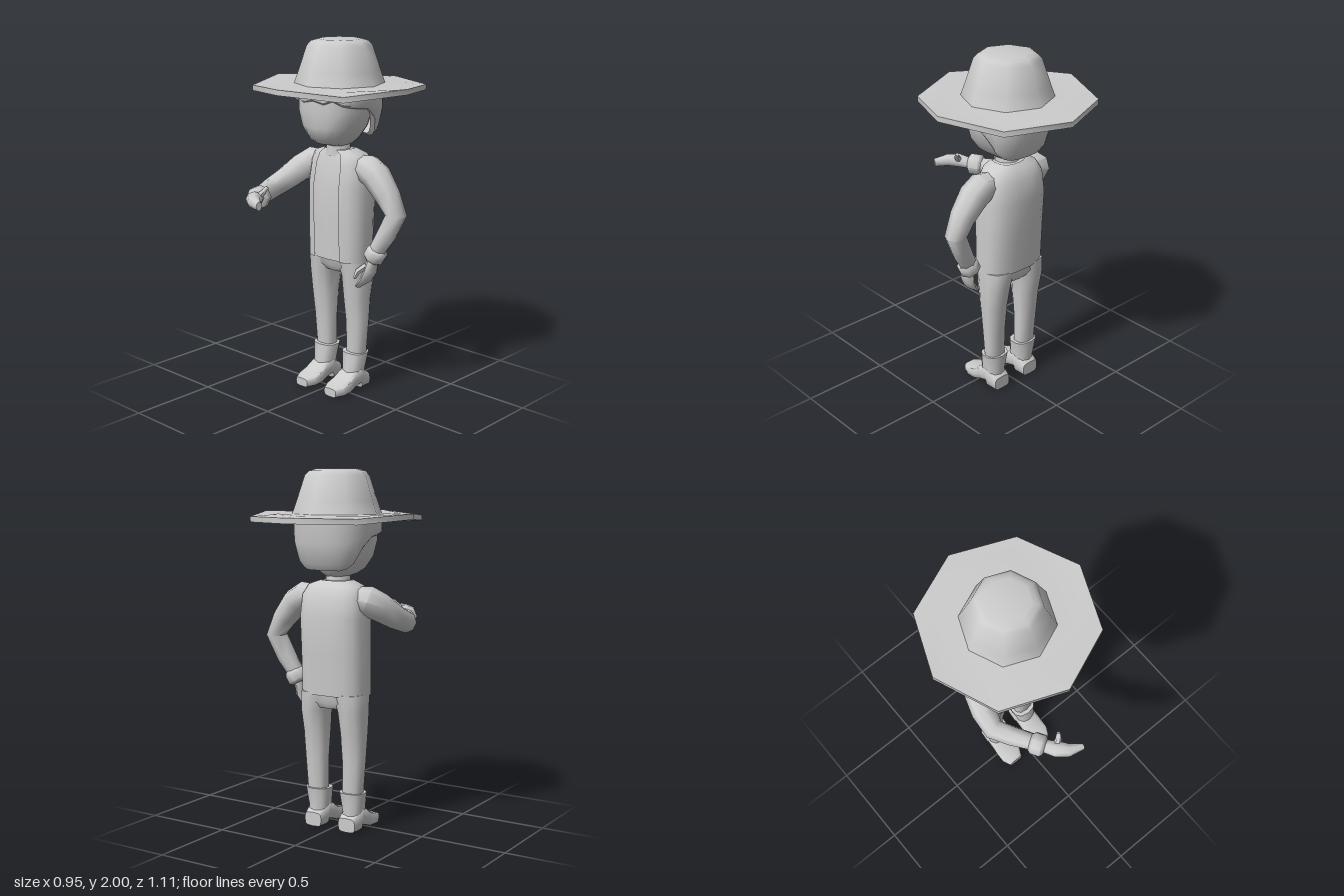
import * as THREE from 'three';
import { toCreasedNormals } from 'three/addons/utils/BufferGeometryUtils.js';

const V = (x, y, z) => new THREE.Vector3(x, y, z);
const spow = (v, p) => Math.sign(v) * Math.abs(v) ** p;

// Skin a list of rings; each ring runs counter-clockwise about the loft direction
function loft(rings, { closed = true, caps = true, crease = 0.95 } = {}) {
  const n = rings[0].length, pos = [], idx = [];
  rings.forEach(r => r.forEach(p => pos.push(p.x, p.y, p.z)));
  for (let i = 0; i < rings.length - 1; i++) {
    for (let j = 0; j < (closed ? n : n - 1); j++) {
      const k = (j + 1) % n, a = i * n, b = a + n;
      idx.push(a + j, a + k, b + k, a + j, b + k, b + j);
    }
  }
  if (caps) [0, rings.length - 1].forEach((r, end) => {
    const c = rings[r].reduce((s, p) => s.add(p), V(0, 0, 0)).divideScalar(n);
    const m = pos.length / 3;
    pos.push(c.x, c.y, c.z);
    for (let j = 0; j < n; j++) {
      const a = r * n + j, b = r * n + (j + 1) % n;
      idx.push(m, end ? a : b, end ? b : a);
    }
  });
  const g = new THREE.BufferGeometry();
  g.setAttribute('position', new THREE.Float32BufferAttribute(pos, 3));
  g.setIndex(idx);
  return toCreasedNormals(g, crease);
}

// Horizontal ring: angle 0 faces the front; gap leaves the front open
function ring([y, rx, zf, zb, cx = 0], n = 14, p = 0.8, gap = 0) {
  const pts = [], zc = (zf + zb) / 2, rz = (zf - zb) / 2;
  for (let j = 0; j < n; j++) {
    const a = gap ? gap + (2 * Math.PI - 2 * gap) * j / (n - 1) : 2 * Math.PI * j / n;
    pts.push(V(cx + rx * spow(Math.sin(a), p), y, zc + rz * spow(Math.cos(a), p)));
  }
  return pts;
}

// Limb along a path of [x, y, z, ru, rv]
function limb(path, ref = V(0, 0, 1), n = 8) {
  const at = i => V(...path[Math.max(0, Math.min(path.length - 1, i))].slice(0, 3));
  return loft(path.map(([, , , ru, rv = ru], i) => {
    const t = at(i + 1).sub(at(i - 1)).normalize();
    const u = ref.clone().cross(t).normalize(), v = t.clone().cross(u);
    return Array.from({ length: n }, (_, j) => {
      const a = 2 * Math.PI * j / n;
      return at(i).addScaledVector(u, ru * Math.cos(a)).addScaledVector(v, rv * Math.sin(a));
    });
  }));
}

export function createModel() {
  const model = new THREE.Group();
  const grey = new THREE.MeshStandardMaterial({ color: 0xcccccc, side: THREE.DoubleSide });
  grey.name = 'plain grey';
  const add = (name, geometry) => {
    const m = new THREE.Mesh(geometry, grey);
    m.name = name;
    model.add(m);
    return m;
  };

  // Hat: eight-sided lathe, brim corners bent down
  const profile = [[0, 1.72], [0.21, 1.712], [0.477, 1.738], [0.477, 1.768], [0.36, 1.757], [0.25, 1.76],
    [0.225, 1.83], [0.18, 1.965], [0.155, 1.99], [0.12, 2], [0, 2]];
  const hat = new THREE.LatheGeometry(profile.map(p => new THREE.Vector2(...p)), 8);
  const hp = hat.attributes.position;
  for (let i = 0; i < hp.count; i++) {
    const x = hp.getX(i), z = hp.getZ(i);
    if (Math.hypot(x, z) < 0.4) continue;
    const diagonal = Math.abs(x * z) > 0.05;
    hp.setY(i, hp.getY(i) - (diagonal ? 0.02 : z < -0.3 ? 0.017 : 0));
  }
  hat.deleteAttribute('normal');
  hat.deleteAttribute('uv');
  hat.translate(0, 0, -0.08);
  add('hat', toCreasedNormals(hat, 0.95));

  // Head and neck
  add('head', loft([[1.42, 0.06, 0, -0.14], [1.435, 0.085, 0.06, -0.16], [1.46, 0.12, 0.1, -0.18],
    [1.53, 0.172, 0.122, -0.21], [1.62, 0.2, 0.13, -0.23], [1.75, 0.2, 0.13, -0.23]].map(r => ring(r, 16))));
  add('neck', loft([[1.36, 0.085, 0, -0.16], [1.4, 0.07, -0.005, -0.145], [1.45, 0.07, -0.005, -0.145]]
    .map(r => ring(r, 10, 1))));

  // Hair: shell whose lower edge drops from the fringe to the nape
  const N = 24;
  const hairline = [1.68, 1.665, 1.685, 1.66, 1.65, 1.645, 1.635, 1.58, 1.5, 1.47, 1.46, 1.46, 1.46];
  const hairPoint = (j, t, inset) => {
    const edge = hairline[Math.min(j, N - j)];
    const y = edge + (1.75 - edge) * t, drop = Math.max(0, 1.68 - y);
    const k = 1 - inset;
    const a = 2 * Math.PI * j / N, c = Math.cos(a);
    const rx = (0.23 - drop * drop * 0.9) * k, rz = (c > 0 ? 0.225 : 0.22 - drop * drop * 1.1) * k;
    return V(rx * spow(Math.sin(a), 0.8), y, -0.08 + rz * spow(c, 0.8));
  };
  const hairRow = (t, inset) => Array.from({ length: N }, (_, j) => hairPoint(j, t, inset));
  add('hair', loft([hairRow(0.05, 0.2), hairRow(0, 0.06), hairRow(0.12, 0), hairRow(0.5, 0), hairRow(1, 0)],
    { caps: false }));

  // Shirt, with an open vest around it
  const torso = [[0.77, 0.2, 0.03, -0.215], [1.0, 0.2, 0.035, -0.227], [1.2, 0.2, 0.035, -0.24],
    [1.32, 0.19, 0.015, -0.222], [1.375, 0.16, 0, -0.19], [1.4, 0.085, -0.005, -0.16]];
  add('shirt', loft(torso.map(([y, rx, zf, zb]) => ring([y, rx - 0.015, zf - 0.012, zb + 0.012], 16))));
  add('vest', loft(torso.map(r => ring(r, 16, 0.75, 0.37)), { closed: false, caps: false }));

  // Trousers and boots
  add('hips', loft([[0.695, 0.11, -0.03, -0.18], [0.73, 0.185, -0.005, -0.2], [0.82, 0.185, 0.01, -0.2]]
    .map(r => ring(r))));
  for (const s of [1, -1]) {
    const side = s > 0 ? 'left' : 'right';
    add(side + 'TrouserLeg', loft([[0.2, 0.06, -0.055, -0.15, 0.115], [0.4, 0.067, -0.045, -0.16, 0.122],
      [0.55, 0.073, -0.025, -0.175, 0.122], [0.68, 0.079, -0.01, -0.2, 0.122], [0.78, 0.094, 0.005, -0.208, 0.106]]
      .map(([y, rx, zf, zb, cx]) => ring([y, rx, zf, zb, cx * s], 10))));
    add(side + 'BootShaft', loft([[0.05, 0.062, -0.01, -0.155, 0.112], [0.11, 0.06, -0.02, -0.15, 0.112],
      [0.22, 0.077, -0.03, -0.165, 0.112]].map(([y, rx, zf, zb, cx]) => ring([y, rx, zf, zb, cx * s], 10))));
    // foot sections [z, half width, bottom, top]
    const foot = [[-0.165, 0.055, 0, 0.08], [-0.095, 0.065, 0, 0.13], [-0.085, 0.065, 0.03, 0.135],
      [-0.03, 0.066, 0.015, 0.115], [0.01, 0.069, 0, 0.085], [0.07, 0.069, 0, 0.062], [0.118, 0.045, 0, 0.05]];
    add(side + 'Foot', loft(foot.map(([z, w, y0, y1]) => Array.from({ length: 12 }, (_, j) => {
      const a = 2 * Math.PI * j / 12;
      return V(s * 0.112 + w * spow(Math.cos(a), 0.5), (y0 + y1) / 2 + (y1 - y0) / 2 * spow(Math.sin(a), 0.5), z);
    }))));
  }

  // Left arm: hand hanging beside the hip
  add('leftSleeve', limb([[0.12, 1.31, -0.1, 0.06], [0.2, 1.3, -0.1, 0.083], [0.26, 1.265, -0.1, 0.082],
    [0.34, 1.17, -0.1, 0.07], [0.395, 1.07, -0.105, 0.06], [0.34, 0.95, -0.09, 0.056], [0.27, 0.83, -0.07, 0.045]]));
  add('leftCuff', limb([[0.298, 0.87, -0.075, 0.05], [0.29, 0.855, -0.075, 0.062],
    [0.268, 0.815, -0.07, 0.062], [0.26, 0.8, -0.07, 0.045]]));
  add('leftHand', limb([[0.268, 0.815, -0.065, 0.03, 0.035], [0.265, 0.74, -0.045, 0.026, 0.052],
    [0.24, 0.69, -0.035, 0.024, 0.05], [0.195, 0.645, -0.03, 0.012, 0.03]]));
  add('leftThumb', limb([[0.25, 0.775, -0.025, 0.02], [0.225, 0.745, 0.015, 0.018], [0.212, 0.705, 0.025, 0.01]],
    V(0, 0, 1), 6));

  // Right arm: forearm held out in front
  const up = V(0, 1, 0);
  add('rightSleeve', limb([[-0.12, 1.31, -0.1, 0.06], [-0.2, 1.295, -0.09, 0.083], [-0.25, 1.255, -0.03, 0.08],
    [-0.285, 1.2, 0.06, 0.07], [-0.3, 1.158, 0.16, 0.06], [-0.25, 1.158, 0.25, 0.055], [-0.165, 1.163, 0.38, 0.045]], up));
  add('rightCuff', limb([[-0.197, 1.163, 0.34, 0.048], [-0.187, 1.163, 0.355, 0.064],
    [-0.16, 1.165, 0.4, 0.064], [-0.152, 1.165, 0.413, 0.045]], up));
  add('rightHand', limb([[-0.165, 1.165, 0.39, 0.035, 0.03], [-0.115, 1.18, 0.465, 0.047, 0.04],
    [-0.07, 1.18, 0.51, 0.038, 0.036], [0.003, 1.172, 0.543, 0.016, 0.026]], up));
  add('rightThumb', limb([[-0.11, 1.185, 0.45, 0.02], [-0.08, 1.215, 0.435, 0.018], [-0.065, 1.245, 0.415, 0.01]],
    V(0, 0, 1), 6));

  return model;
}
